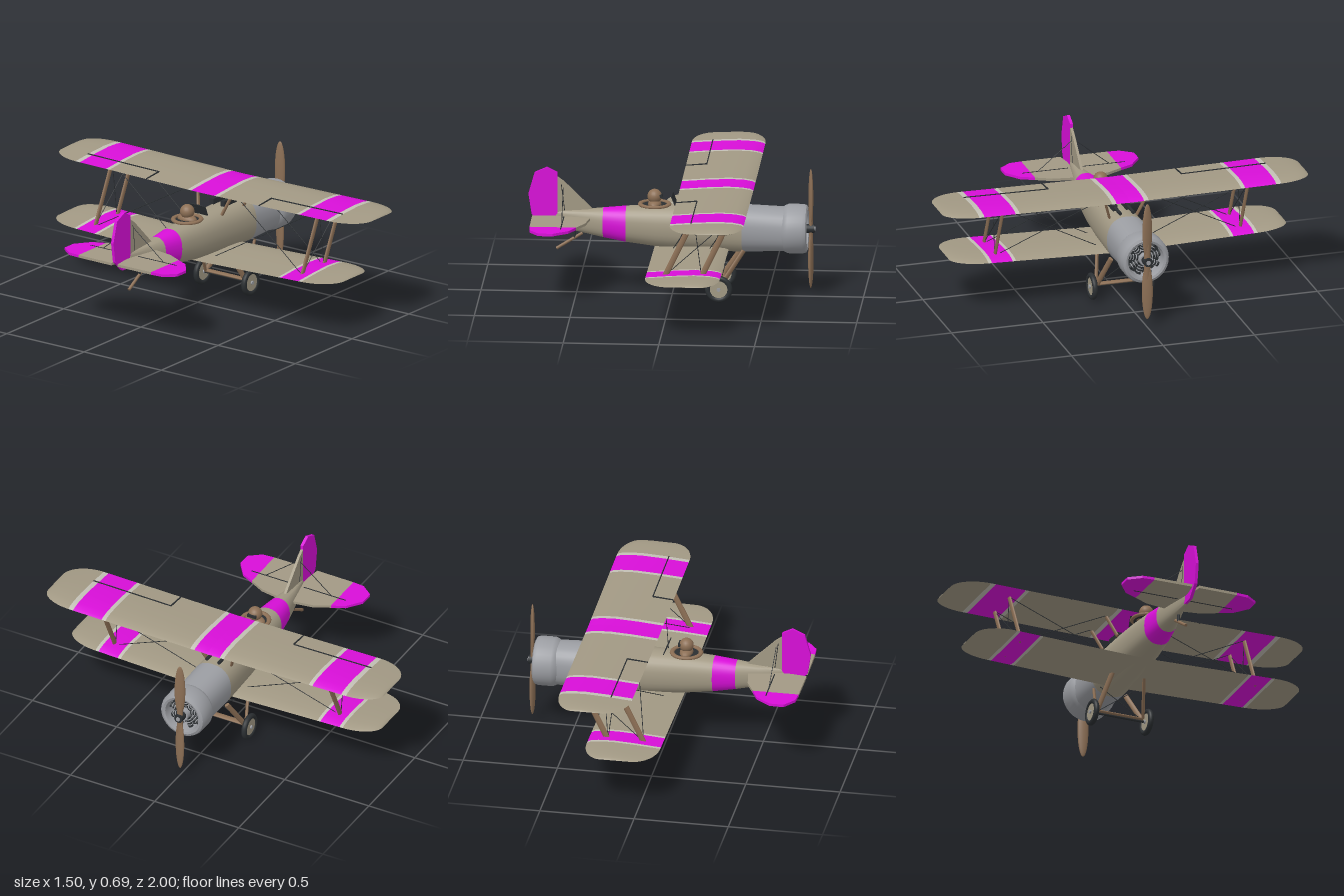
import * as THREE from 'three';
import { toCreasedNormals } from 'three/addons/utils/BufferGeometryUtils.js';

const paint = (name, color) => new THREE.MeshStandardMaterial({ name, color });
const V = (x, y, z) => new THREE.Vector3(x, y, z);

// Skin over closed rings of points; rings turn counter-clockwise about the direction of travel
function loft(rings, crease = 0.7) {
  const n = rings[0].length, idx = [];
  for (let i = 0; i < rings.length - 1; i++) {
    for (let j = 0; j < n; j++) {
      const a = i * n + j, b = i * n + (j + 1) % n;
      idx.push(a, b, b + n, a, b + n, a + n);
    }
  }
  const g = new THREE.BufferGeometry();
  g.setAttribute('position', new THREE.Float32BufferAttribute(rings.flat(2), 3));
  g.setIndex(idx);
  return toCreasedNormals(g, crease);
}

// Thin plate from an outline, centred on its own plane
function plate(points, depth) {
  const shape = new THREE.Shape(points.map(([x, y]) => new THREE.Vector2(x, y)));
  return new THREE.ExtrudeGeometry(shape, { depth, bevelEnabled: false }).translate(0, 0, -depth / 2);
}

// Fuselage stations: x, bottom, top, half width
const BODY = [
  [-0.61, 0.355, 0.438, 0.008], [-0.48, 0.327, 0.447, 0.036], [-0.36, 0.302, 0.458, 0.06],
  [-0.24, 0.28, 0.469, 0.077], [-0.08, 0.26, 0.48, 0.093], [0.1, 0.247, 0.486, 0.103],
  [0.37, 0.24, 0.488, 0.11], [0.6, 0.25, 0.478, 0.11],
];
function bodyRing(x) {
  let i = 0;
  while (i < BODY.length - 2 && x > BODY[i + 1][0]) i++;
  const t = (x - BODY[i][0]) / (BODY[i + 1][0] - BODY[i][0]);
  const [, lo, hi, w] = BODY[i].map((v, k) => v + (BODY[i + 1][k] - v) * t);
  const soft = (v) => Math.sign(v) * Math.abs(v) ** 0.85;
  return Array.from({ length: 28 }, (_, k) => {
    const a = k / 28 * Math.PI * 2;
    return [x, (lo + hi) / 2 + (hi - lo) / 2 * soft(Math.cos(a)), w * soft(Math.sin(a))];
  });
}

// Aerofoil: chord fraction from the leading edge, height
const FOIL = [[0, 0], [0.04, 0.008], [0.15, 0.015], [0.35, 0.018], [0.65, 0.012], [1, 0.001],
  [0.96, -0.002], [0.65, -0.003], [0.3, -0.005], [0.05, -0.006]];

export function createModel() {
  const model = new THREE.Group();
  model.name = 'biplane';
  const khaki = paint('khaki fabric', 0xa29984), magenta = paint('magenta bands', 0xd80fd8);
  const grey = paint('grey metal', 0x9b9da2), dark = paint('dark metal', 0x2b2f32);
  const wood = paint('brown wood', 0x8c6f55), pale = paint('pale trim', 0xc2bfb5);
  grey.side = THREE.DoubleSide;

  function add(name, geo, mat, pos, parent = model) {
    const m = new THREE.Mesh(geo, mat);
    m.name = name;
    if (pos) m.position.set(...pos);
    parent.add(m);
    return m;
  }
  // Round or oval bar between two points
  function bar(name, a, b, rx, rz, mat, sides = 10) {
    const d = V(...b).sub(V(...a));
    const m = add(name, new THREE.CylinderGeometry(1, 1, d.length(), sides).scale(rx, 1, rz), mat);
    m.position.copy(V(...a)).addScaledVector(d, 0.5);
    m.quaternion.setFromUnitVectors(V(0, 1, 0), d.normalize());
    return m;
  }
  const wire = (a, b) => bar('wire', a, b, 0.002, 0.002, dark, 5);

  // Fuselage in painted sections
  const section = (name, x0, x1, mat) => {
    const xs = [x0, ...BODY.map((s) => s[0]).filter((x) => x > x0 && x < x1), x1];
    add(name, loft(xs.map(bodyRing)), mat);
  };
  section('rearFuselage', -0.61, -0.36, khaki);
  section('fuselageBand', -0.36, -0.24, magenta);
  section('midFuselage', -0.24, 0.37, khaki);
  section('nosePanels', 0.37, 0.6, grey);

  // Wings: bands run outward from the centre as [outer z, material]
  function wing(name, xLead, xTrail, y0, rise, span, bands) {
    const group = new THREE.Group();
    group.name = name;
    model.add(group);
    const tip = 0.18;
    const ring = (z) => {
      const s = Math.max(0, (Math.abs(z) - span + tip) / tip), round = Math.sqrt(Math.max(0, 1 - s * s));
      const lead = xLead - 0.1 * (1 - round), trail = xTrail + 0.125 * (1 - round);
      const thick = Math.sqrt(Math.max(0, 1 - s ** 4));
      return FOIL.map(([t, h]) => [lead + (trail - lead) * t, y0 + rise * Math.abs(z) + h * thick, z]);
    };
    let from = 0;
    for (const [to, mat] of bands) {
      const n = to === span ? 14 : 2;
      for (const side of [-1, 1]) {
        const zs = Array.from({ length: n + 1 }, (_, i) => {
          const t = i / n;
          return side * (from + (to - from) * (n > 2 ? 1 - (1 - t) ** 2 : t));
        });
        if (side < 0) zs.reverse();
        add(name + 'Panel', loft(zs.map(ring)), mat, null, group);
      }
      from = to;
    }
  }
  wing('upperWing', 0.43, 0.045, 0.587, 0.013, 1, [[0.075, magenta], [0.1, pale], [0.605, khaki],
    [0.627, pale], [0.797, magenta], [0.825, pale], [1, khaki]]);
  wing('lowerWing', 0.3, -0.09, 0.262, 0.03, 0.92, [[0.585, khaki], [0.603, pale],
    [0.716, magenta], [0.735, pale], [0.92, khaki]]);

  // Tailplane with painted tips
  const flat = (pts) => plate(pts, 0.014).rotateX(Math.PI / 2);
  const half = [[-0.42, 0], [-0.445, 0.153], [-0.487, 0.235], [-0.73, 0.235], [-0.732, 0.02]];
  for (const s of [-1, 1]) {
    const mirror = (pts) => pts.map(([x, z]) => [x, z * s]);
    add('tailplane', flat(mirror([...half, [-0.6, 0]])), khaki, [0, 0.406, 0]);
    add('tailplaneTip', flat(mirror([[-0.487, 0.235], [-0.52, 0.305], [-0.6, 0.365], [-0.675, 0.365],
      [-0.725, 0.3], [-0.73, 0.235]])), magenta, [0, 0.406, 0]);
    add('elevatorHinge', new THREE.BoxGeometry(0.006, 0.017, 0.25), dark, [-0.565, 0.406, s * 0.155]);
    wire([-0.57, 0.57, 0], [-0.565, 0.41, s * 0.2]);
  }
  // Fin and rudder
  add('fin', plate([[-0.41, 0.445], [-0.565, 0.597], [-0.6, 0.622], [-0.6, 0.43]], 0.014), khaki);
  add('rudder', plate([[-0.6, 0.645], [-0.655, 0.673], [-0.72, 0.643], [-0.752, 0.53], [-0.735, 0.42],
    [-0.67, 0.36], [-0.6, 0.358]], 0.016), magenta);
  bar('finHinge', [-0.58, 0.585, 0], [-0.562, 0.44, 0], 0.003, 0.009, dark);
  // Tail skid
  bar('tailSkid', [-0.605, 0.235, 0], [-0.47, 0.32, 0], 0.008, 0.008, wood);
  bar('skidBrace', [-0.51, 0.295, 0], [-0.51, 0.34, 0], 0.008, 0.008, dark);

  // Open cowling
  const cowl = [[0.108, 0.575], [0.122, 0.59], [0.13, 0.608], [0.13, 0.685], [0.124, 0.703],
    [0.11, 0.71], [0.098, 0.706], [0.094, 0.69], [0.094, 0.62]].map(([r, x]) => new THREE.Vector2(r, x));
  add('cowling', toCreasedNormals(new THREE.LatheGeometry(cowl, 36).rotateZ(-Math.PI / 2), 0.6), grey, [0, 0.365, 0]);
  // Radial engine
  const engine = new THREE.Group();
  engine.name = 'engine';
  engine.position.set(0.66, 0.365, 0);
  model.add(engine);
  add('firewall', new THREE.CylinderGeometry(0.097, 0.097, 0.01, 28).rotateZ(Math.PI / 2), dark, [-0.035, 0, 0], engine);
  add('crankcase', new THREE.CylinderGeometry(0.032, 0.036, 0.06, 20).rotateZ(-Math.PI / 2), grey, [0.01, 0, 0], engine);
  for (let i = 0; i < 9; i++) {
    const arm = new THREE.Group();
    arm.rotation.x = i / 9 * Math.PI * 2;
    engine.add(arm);
    add('engineCylinder', new THREE.CylinderGeometry(0.014, 0.014, 0.06, 12), dark, [0, 0.06, 0], arm);
    for (let k = 0; k < 3; k++) {
      add('coolingFin', new THREE.CylinderGeometry(0.017, 0.017, 0.004, 12), grey, [0, 0.045 + k * 0.015, 0], arm);
    }
  }
  // Propeller
  add('propellerHub', new THREE.CylinderGeometry(0.024, 0.024, 0.045, 16).rotateZ(Math.PI / 2), dark, [0.722, 0.367, 0]);
  add('hubCap', new THREE.CylinderGeometry(0.012, 0.012, 0.01, 12).rotateZ(Math.PI / 2), grey, [0.744, 0.367, 0]);
  for (const s of [-1, 1]) {
    add('propellerBlade', new THREE.SphereGeometry(1, 16, 16).scale(0.012, 0.155, 0.029).rotateY(s * 0.25),
      wood, [0.725, 0.367 + s * 0.167, 0]);
    bar('bladeRoot', [0.725, 0.367, 0], [0.725, 0.367 + s * 0.1, 0], 0.011, 0.017, wood);
  }

  // Cockpit and pilot
  add('cockpitRim', new THREE.TorusGeometry(0.072, 0.012, 8, 28).rotateX(Math.PI / 2).scale(1.05, 0.7, 1), wood, [-0.092, 0.484, 0]);
  add('cockpitFloor', new THREE.CylinderGeometry(0.07, 0.07, 0.006, 24), dark, [-0.092, 0.48, 0]);
  add('pilotShoulders', new THREE.SphereGeometry(1, 18, 12).scale(0.035, 0.025, 0.058), wood, [-0.092, 0.485, 0]);
  add('pilotHead', new THREE.SphereGeometry(0.038, 20, 14), wood, [-0.092, 0.527, 0]);
  add('goggles', new THREE.BoxGeometry(0.016, 0.016, 0.048), dark, [-0.058, 0.531, 0]);
  add('windscreen', new THREE.BoxGeometry(0.005, 0.06, 0.1), dark, [0.01, 0.51, 0]).rotation.z = 0.4;

  // Both sides: guns, struts, rigging and undercarriage
  for (const s of [-1, 1]) {
    add('gunBody', new THREE.BoxGeometry(0.11, 0.03, 0.026), dark, [0.225, 0.503, s * 0.036]);
    bar('gunBarrel', [0.27, 0.506, s * 0.036], [0.37, 0.506, s * 0.036], 0.009, 0.009, dark);

    for (const x of [0.01, 0.2]) {
      bar('wingStrut', [x, 0.282, s * 0.67], [x + 0.15, 0.598, s * 0.67], 0.016, 0.007, wood);
      bar('centreStrut', [x + 0.1, 0.465, s * 0.075], [x + 0.15, 0.59, s * 0.118], 0.012, 0.007, wood);
      wire([x, 0.282, s * 0.67], [x + 0.14, 0.59, s * 0.12]);
      wire([x + 0.15, 0.598, s * 0.67], [x, 0.27, s * 0.1]);
    }
    wire([0.01, 0.285, s * 0.67], [0.35, 0.595, s * 0.67]);
    wire([0.2, 0.285, s * 0.67], [0.16, 0.595, s * 0.67]);

    // Aileron outline on the upper wing
    add('aileronGap', new THREE.BoxGeometry(0.005, 0.006, 0.46), dark, [0.155, 0.606, s * 0.595]).rotation.x = -s * 0.013;
    const end = add('aileronEnd', new THREE.BoxGeometry(0.11, 0.006, 0.006), dark, [0.1, 0.599, s * 0.365]);
    end.rotation.z = 0.1;

    bar('gearStrut', [0.14, 0.265, s * 0.09], [0.245, 0.085, s * 0.13], 0.014, 0.008, wood);
    bar('gearStrut', [0.38, 0.265, s * 0.09], [0.262, 0.085, s * 0.13], 0.014, 0.008, wood);
    wire([0.3, 0.25, s * 0.09], [0.255, 0.08, -s * 0.13]);

    add('tyre', new THREE.TorusGeometry(0.057, 0.0148, 12, 32), dark, [0.254, 0.072, s * 0.155]);
    add('wheelDisc', new THREE.CylinderGeometry(0.047, 0.047, 0.018, 28).rotateX(Math.PI / 2), khaki, [0.254, 0.072, s * 0.155]);
    add('wheelHub', new THREE.CylinderGeometry(0.01, 0.01, 0.034, 14).rotateX(Math.PI / 2), grey, [0.254, 0.072, s * 0.155]);
  }
  bar('axle', [0.254, 0.072, -0.17], [0.254, 0.072, 0.17], 0.007, 0.007, dark);
  bar('axleFairing', [0.254, 0.082, -0.13], [0.254, 0.082, 0.13], 0.018, 0.008, wood);
  return model;
}
